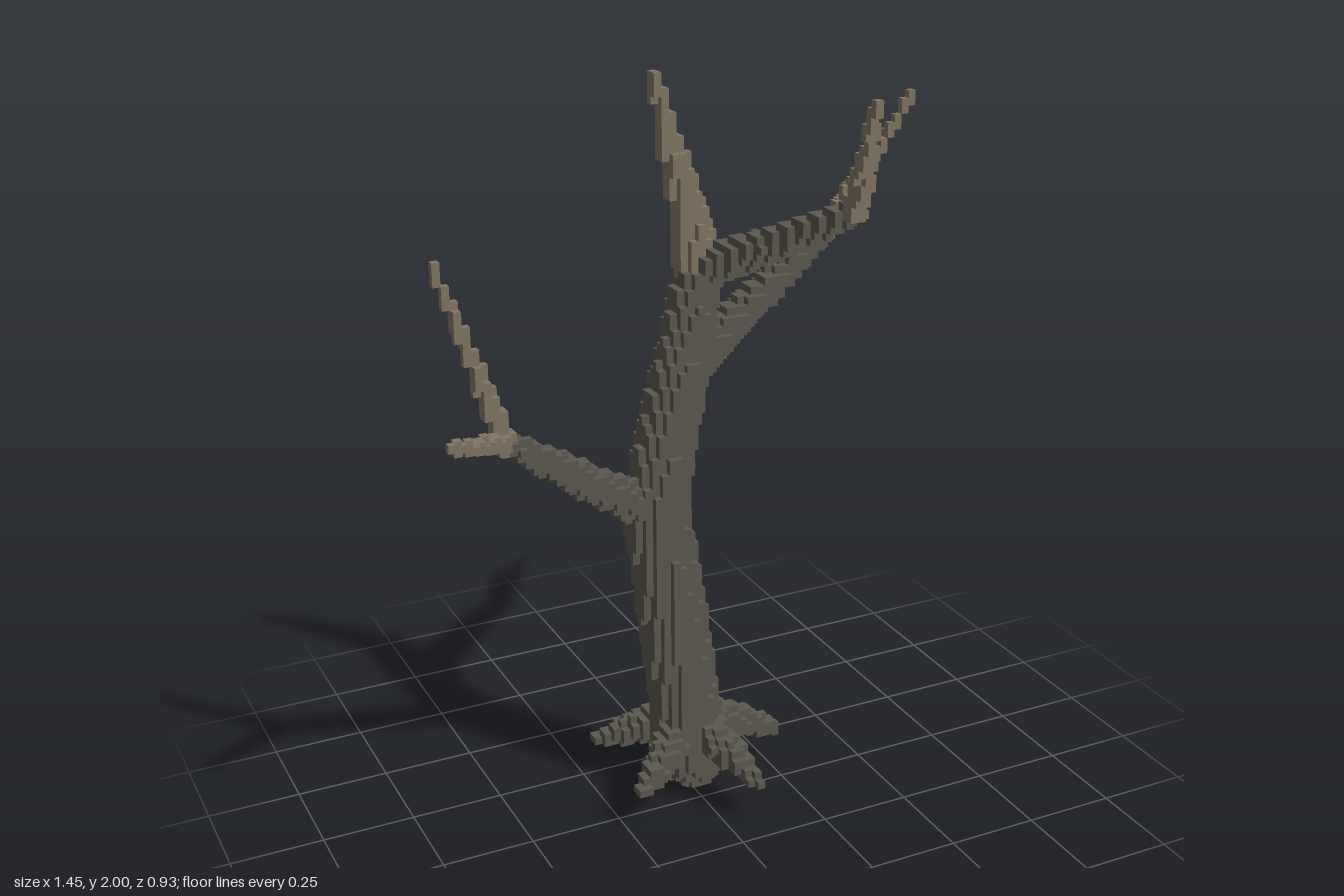
import * as THREE from 'three';

const S = 2 / 99; // cube size

const bark = new THREE.MeshStandardMaterial({ color: 0x5a574e });
bark.name = 'darkBark';
const twigWood = new THREE.MeshStandardMaterial({ color: 0x807462 });
twigWood.name = 'paleTwig';

// Each limb is a path of [x, y, z, radius]; later limbs override earlier ones.
const limbs = [
  { name: 'trunk', mat: bark, path: [
    [0.01, 0.095, -0.087, 0.09], [-0.015, 0.3, -0.087, 0.089], [-0.04, 0.5, -0.09, 0.088],
    [-0.065, 0.7, -0.093, 0.084], [-0.085, 0.83, -0.098, 0.082], [-0.06, 1.0, -0.105, 0.076],
    [-0.012, 1.2, -0.113, 0.07], [0.015, 1.3, -0.12, 0.064], [0.06, 1.48, -0.145, 0.057]] },
  { name: 'leftBranch', mat: bark, path: [
    [0.04, 1.23, -0.135, 0.055], [0.25, 1.355, -0.19, 0.042], [0.4, 1.447, -0.222, 0.032], [0.49, 1.505, -0.235, 0.026]] },
  { name: 'rightBranch', mat: bark, path: [
    [-0.1, 0.85, -0.1, 0.052], [-0.3, 0.98, -0.078, 0.042], [-0.5, 1.12, -0.055, 0.027]] },
  { name: 'crownTwig', mat: twigWood, path: [
    [0.06, 1.49, -0.152, 0.056], [0.045, 1.6, -0.155, 0.043], [0.003, 1.75, -0.16, 0.033], [-0.05, 1.97, -0.165, 0.014]] },
  { name: 'frontBranch', mat: bark, path: [
    [0.085, 1.49, -0.1, 0.048], [0.14, 1.545, 0, 0.042], [0.2, 1.615, 0.13, 0.035], [0.255, 1.68, 0.25, 0.028]] },
  { name: 'frontTwig', mat: twigWood, path: [
    [0.268, 1.695, 0.275, 0.027], [0.25, 1.8, 0.34, 0.022], [0.21, 1.97, 0.445, 0.01], [0.205, 1.99, 0.455, 0.008]] },
  { name: 'leftUpperTwig', mat: twigWood, path: [
    [0.495, 1.51, -0.235, 0.026], [0.715, 1.84, -0.215, 0.01]] },
  { name: 'leftLowerTwig', mat: twigWood, path: [
    [0.495, 1.51, -0.235, 0.026], [0.717, 1.585, -0.455, 0.01]] },
  { name: 'rightUpperTwig', mat: twigWood, path: [
    [-0.51, 1.125, -0.053, 0.027], [-0.66, 1.58, -0.09, 0.01]] },
  { name: 'rightLowerTwig', mat: twigWood, path: [
    [-0.51, 1.125, -0.053, 0.026], [-0.717, 1.22, 0.15, 0.01]] },
];

// Five roots spread evenly around the foot of the trunk
for (let i = 0; i < 5; i++) {
  const a = (i * 2 * Math.PI) / 5;
  const at = (d, y, r) => [0.01 + d * Math.cos(a), y, -0.09 + d * Math.sin(a), r];
  limbs.push({ name: 'root' + (i + 1), mat: bark, path: [at(0.05, 0.19, 0.055), at(0.14, 0.16, 0.044), at(0.265, 0.108, 0.018)] });
}

const key = (i, j, k) => i + ',' + j + ',' + k;

// Fill every cube whose centre lies inside a tapered limb segment
function fillSegment(cells, a, b, owner) {
  const A = new THREE.Vector3(...a), AB = new THREE.Vector3(...b).sub(A);
  const len2 = AB.lengthSq(), R = Math.max(a[3], b[3]);
  const lo = [0, 1, 2].map((n) => Math.floor((Math.min(a[n], b[n]) - R) / S));
  const hi = [0, 1, 2].map((n) => Math.floor((Math.max(a[n], b[n]) + R) / S));
  const p = new THREE.Vector3();
  const put = (i, j, k) => { if (j >= 0 && j < 99) cells.set(key(i, j, k), [i, j, k, owner]); };
  for (let i = lo[0]; i <= hi[0]; i++)
    for (let j = lo[1]; j <= hi[1]; j++)
      for (let k = lo[2]; k <= hi[2]; k++) {
        p.set((i + 0.5) * S, (j + 0.5) * S, (k + 0.5) * S).sub(A);
        const t = THREE.MathUtils.clamp(p.dot(AB) / len2, 0, 1);
        if (p.addScaledVector(AB, -t).length() <= a[3] + (b[3] - a[3]) * t) put(i, j, k);
      }
  // Keep thin tips connected along the centre line
  const steps = Math.ceil(Math.sqrt(len2) / (S * 0.5));
  for (let n = 0; n <= steps; n++) {
    p.copy(A).addScaledVector(AB, n / steps);
    put(Math.floor(p.x / S), Math.floor(p.y / S), Math.floor(p.z / S));
  }
}

// Outer faces of one limb's cubes, skipping those touching another cube
function limbGeometry(cells, owner) {
  const pos = [], nor = [], idx = [];
  for (const [i, j, k, o] of cells.values()) {
    if (o !== owner) continue;
    const c = [i, j, k];
    for (let axis = 0; axis < 3; axis++)
      for (const dir of [-1, 1]) {
        const n = [0, 0, 0];
        n[axis] = dir;
        if (cells.has(key(i + n[0], j + n[1], k + n[2]))) continue;
        const u = (axis + 1) % 3, v = (axis + 2) % 3, base = pos.length / 3;
        for (const [du, dv] of [[0, 0], [1, 0], [1, 1], [0, 1]]) {
          const q = [...c];
          q[axis] += dir > 0 ? 1 : 0;
          q[u] += du;
          q[v] += dv;
          pos.push(q[0] * S, q[1] * S, q[2] * S);
          nor.push(...n);
        }
        const order = dir > 0 ? [0, 1, 2, 0, 2, 3] : [0, 2, 1, 0, 3, 2];
        idx.push(...order.map((m) => base + m));
      }
  }
  const g = new THREE.BufferGeometry();
  g.setAttribute('position', new THREE.Float32BufferAttribute(pos, 3));
  g.setAttribute('normal', new THREE.Float32BufferAttribute(nor, 3));
  g.setIndex(idx);
  return g;
}

export function createModel() {
  const group = new THREE.Group();
  group.name = 'bareTree';
  const cells = new Map();
  limbs.forEach((limb, owner) => {
    for (let n = 0; n + 1 < limb.path.length; n++) fillSegment(cells, limb.path[n], limb.path[n + 1], owner);
  });
  limbs.forEach((limb, owner) => {
    const mesh = new THREE.Mesh(limbGeometry(cells, owner), limb.mat);
    mesh.name = limb.name;
    group.add(mesh);
  });
  return group;
}
